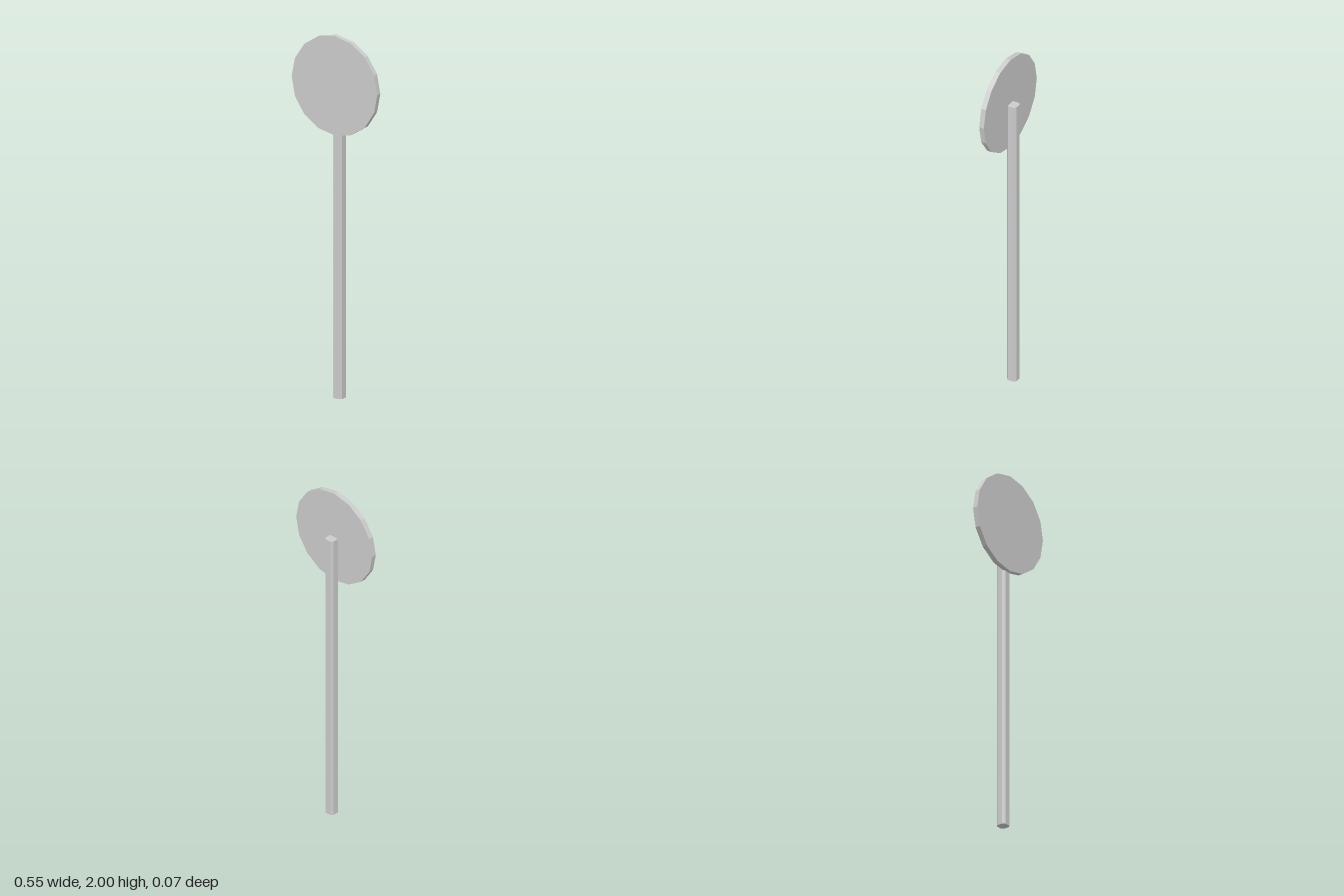
import * as THREE from 'three';

export function createModel() {
  const group = new THREE.Group();
  const material = new THREE.MeshStandardMaterial({ color: 0xcccccc, flatShading: true });

  // Round sign plate, sixteen-sided, with a corner at the top
  const radius = 0.273, centreY = 2 - radius;
  const plate = new THREE.Mesh(new THREE.CylinderGeometry(radius, radius, 0.028, 16), material);
  plate.name = 'signPlate';
  plate.rotation.x = Math.PI / 2;
  plate.position.set(0, centreY, 0.023);
  group.add(plate);

  // Square post with chamfered corners, ending at the plate's centre
  const h = 0.028, c = 0.0165;
  const outline = [[h, -c], [h, c], [c, h], [-c, h], [-h, c], [-h, -c], [-c, -h], [c, -h]];
  const section = new THREE.Shape(outline.map(([x, y]) => new THREE.Vector2(x, y)));
  const postGeometry = new THREE.ExtrudeGeometry(section, { depth: centreY, bevelEnabled: false });
  postGeometry.rotateX(-Math.PI / 2);
  const post = new THREE.Mesh(postGeometry, material);
  post.name = 'post';
  post.position.z = -0.0095;
  group.add(post);

  return group;
}
